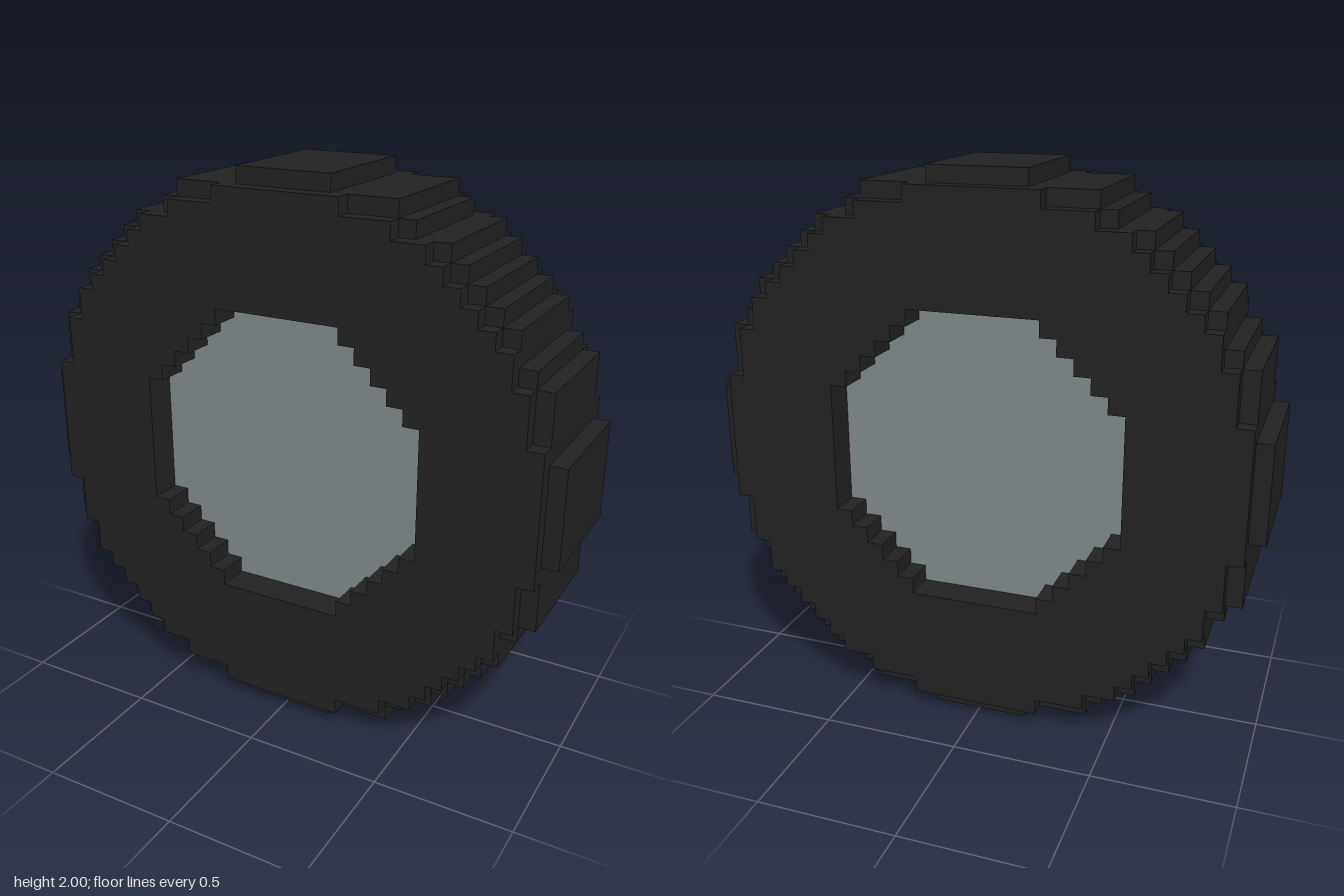
import * as THREE from 'three';

// One block of the grid; the wheel is 34 blocks across.
const U = 2 / 34;

// Outer corners of the stepped circles, first quadrant, in blocks.
const TREAD = [[17, 3], [16, 7], [15, 8], [14, 10], [13, 11], [12, 12], [11, 13], [10, 14], [8, 15], [7, 16], [3, 17]];
const SIDEWALL = [[16, 4], [15, 7], [14, 9], [13, 10], [12, 11], [11, 12], [10, 13], [9, 14], [7, 15], [4, 16]];
const HUB = [[9, 4], [8, 5], [7, 6], [6, 7], [5, 8], [4, 9]];

// Closed stepped outline, from a quadrant turned four times.
function outline(corners) {
  const quadrant = [];
  corners.forEach(([x, y], i) => {
    quadrant.push([x, y]);
    if (i < corners.length - 1) quadrant.push([corners[i + 1][0], y]);
  });
  const points = [];
  for (let q = 0; q < 4; q++) {
    for (const [x, y] of quadrant) {
      const [px, py] = [[x, y], [-y, x], [-x, -y], [y, -x]][q];
      points.push(new THREE.Vector2(px * U, py * U));
    }
  }
  return points;
}

// Slab between two depths (in blocks), with an optional hole.
function slab(name, material, corners, z0, z1, hole) {
  const shape = new THREE.Shape(outline(corners));
  if (hole) shape.holes.push(new THREE.Path(outline(hole)));
  const geometry = new THREE.ExtrudeGeometry(shape, { depth: (z1 - z0) * U, bevelEnabled: false });
  geometry.translate(0, 1, z0 * U);
  const mesh = new THREE.Mesh(geometry, material);
  mesh.name = name;
  return mesh;
}

export function createModel() {
  const rubber = new THREE.MeshStandardMaterial({ color: 0x222222 });
  rubber.name = 'black rubber';
  const metal = new THREE.MeshStandardMaterial({ color: 0x7f888a });
  metal.name = 'grey metal';

  const wheel = new THREE.Group();
  wheel.name = 'wheel';
  wheel.add(
    slab('tread', rubber, TREAD, -4, 4, HUB),
    slab('frontSidewall', rubber, SIDEWALL, 4, 5, HUB),
    slab('backSidewall', rubber, SIDEWALL, -5, -4, HUB),
    // Hub plate, recessed two blocks on both sides
    slab('hub', metal, HUB, -3, 3)
  );
  return wheel;
}
